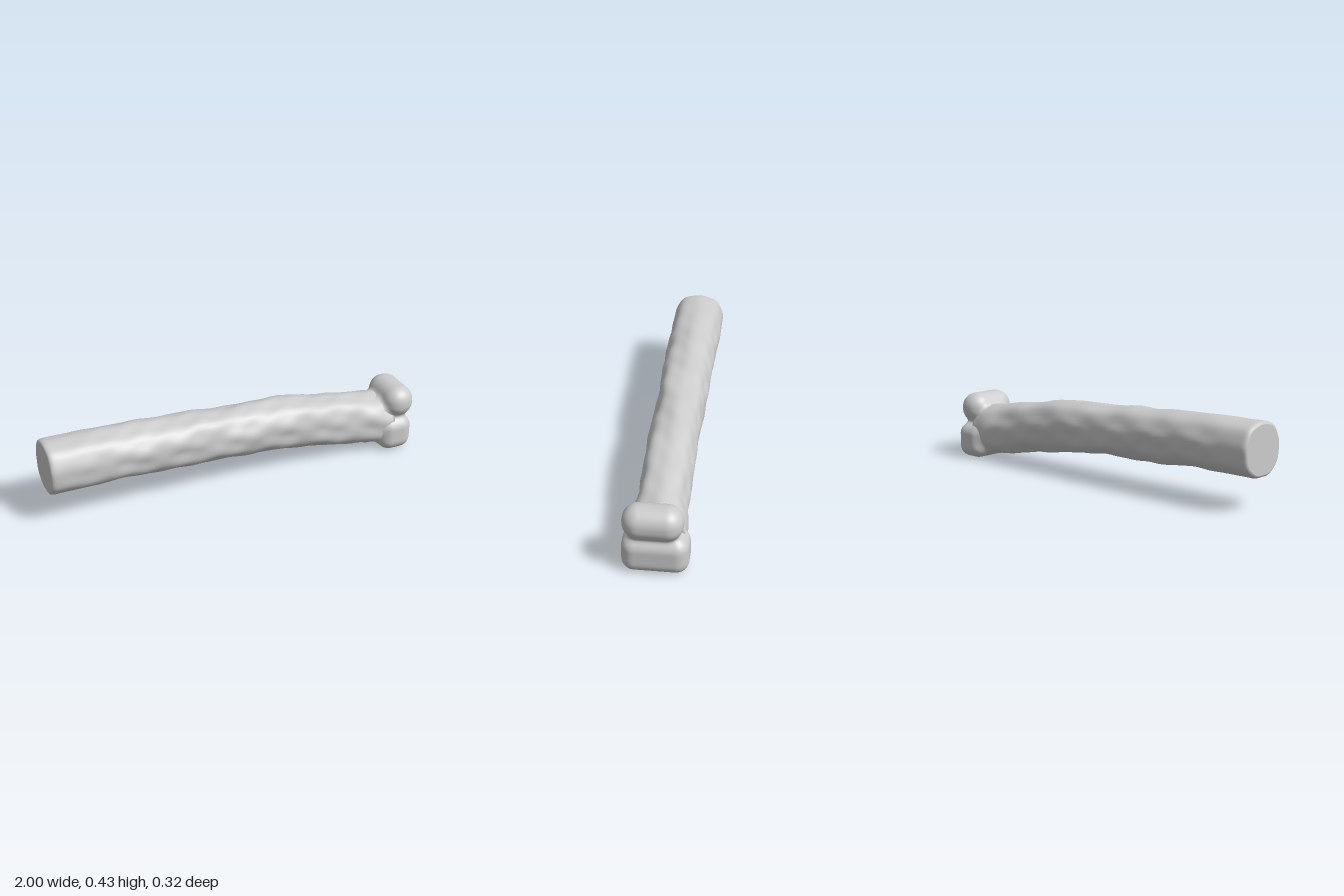
import * as THREE from 'three';
import { mergeVertices } from 'three/addons/utils/BufferGeometryUtils.js';

const material = new THREE.MeshStandardMaterial({ color: 0xcccccc });

// Shaft outline: x, then top y, bottom y, half width in z
const outline = [
  [-1, 0.43, 0.163, 0.134], [-0.8, 0.428, 0.163, 0.134], [-0.6, 0.423, 0.165, 0.131],
  [-0.4, 0.413, 0.149, 0.128], [-0.2, 0.405, 0.142, 0.125], [0, 0.387, 0.134, 0.123],
  [0.25, 0.382, 0.111, 0.122], [0.5, 0.343, 0.073, 0.122], [0.7, 0.31, 0.037, 0.123],
  [0.8, 0.294, 0.025, 0.138], [0.88, 0.275, 0.022, 0.132],
];
const profile = new THREE.CubicInterpolant(outline.map(k => k[0]), outline.flatMap(k => k.slice(1)), 3);

// Long, shallow surface ripples, fading out towards the cut end
function ripple(x, a) {
  const fade = THREE.MathUtils.smoothstep(x, -1, -0.5) * 0.7 + 0.3;
  const n = Math.sin(5 * a + 4 * Math.sin(3.1 * x)) * 0.4
    + Math.sin(9 * x + 3 * a + 1.3) * 0.35
    + Math.sin(23 * x - 4 * a + 2 * Math.sin(2 * a)) * 0.35
    + Math.sin(41 * x + 7 * a + 0.6) * 0.2;
  return n * 0.0055 * fade + Math.cos(9 * a + 0.4) * 0.0015;
}

function shaftGeometry() {
  const sides = 56;
  // Each ring: x and scale; the first rings close and round the cut end
  const rings = [[-1, 0], [-1, 0.88], [-1, 0.89], [-0.998, 0.93], [-0.993, 0.965], [-0.985, 0.988]];
  for (let i = 0; i <= 130; i++) rings.push([-0.975 + 1.855 * i / 130, 1]);
  rings.push([0.88, 0]);
  const points = [], index = [];
  rings.forEach(([x, scale], i) => {
    const [top, bottom, half] = profile.evaluate(x);
    const mid = (top + bottom) / 2, height = (top - bottom) / 2;
    for (let j = 0; j < sides; j++) {
      const a = j / sides * Math.PI * 2, c = Math.cos(a), s = Math.sin(a);
      // slightly squared oval
      const r = Math.pow(Math.abs(c) ** 2.35 + Math.abs(s) ** 2.35, -1 / 2.35);
      const bump = ripple(x, a);
      points.push(x, mid + c * (r * height + bump) * scale, s * (r * half + bump) * scale);
      if (i < rings.length - 1) {
        const p = i * sides + j, q = i * sides + (j + 1) % sides;
        index.push(p, q, p + sides, q, q + sides, p + sides);
      }
    }
  });
  const g = new THREE.BufferGeometry();
  g.setAttribute('position', new THREE.Float32BufferAttribute(points, 3));
  g.setIndex(index);
  g.computeVertexNormals();
  return g;
}

// Rounded blocks of the knobbed end: centre, half size, corner radius
const blocks = [
  { c: [0.78, 0.16, 0], h: [0.12, 0.126, 0.126], r: 0.1 },
  { c: [0.894, 0.098, 0], h: [0.09, 0.094, 0.158], r: 0.062 },
  { c: [0.917, 0.269, 0.01], h: [0.082, 0.083, 0.143], r: 0.078 },
];

function blockDistance(p, { c, h, r }) {
  const q = [p.x, p.y, p.z].map((v, i) => Math.abs(v - c[i]) - h[i] + r);
  return Math.hypot(...q.map(v => Math.max(v, 0))) + Math.min(Math.max(...q), 0) - r;
}

function headDistance(p) {
  return blocks.map(b => blockDistance(p, b)).reduce((a, b) => {
    const k = 0.035, m = Math.max(k - Math.abs(a - b), 0) / k;
    return Math.min(a, b) - m * m * k / 4;
  });
}

// Push a sphere's vertices outwards onto the blended blocks
function headGeometry() {
  let g = new THREE.IcosahedronGeometry(1, 30);
  g.deleteAttribute('uv');
  g.deleteAttribute('normal');
  g = mergeVertices(g, 1e-5);
  const pos = g.attributes.position;
  const centre = new THREE.Vector3(0.872, 0.18, 0), dir = new THREE.Vector3(), p = new THREE.Vector3();
  for (let i = 0; i < pos.count; i++) {
    dir.fromBufferAttribute(pos, i).normalize();
    let near = 0, far = 0.32;
    for (let s = 0; s < 22; s++) {
      const t = (near + far) / 2;
      if (headDistance(p.copy(centre).addScaledVector(dir, t)) < 0) near = t; else far = t;
    }
    p.copy(centre).addScaledVector(dir, near);
    pos.setXYZ(i, p.x, p.y, p.z);
  }
  g.computeVertexNormals();
  return g;
}

export function createModel() {
  const group = new THREE.Group();
  group.name = 'bone';
  const add = (geometry, name) => {
    const mesh = new THREE.Mesh(geometry, material);
    mesh.name = name;
    group.add(mesh);
  };
  add(shaftGeometry(), 'shaft');
  add(headGeometry(), 'knobbedEnd');
  return group;
}
